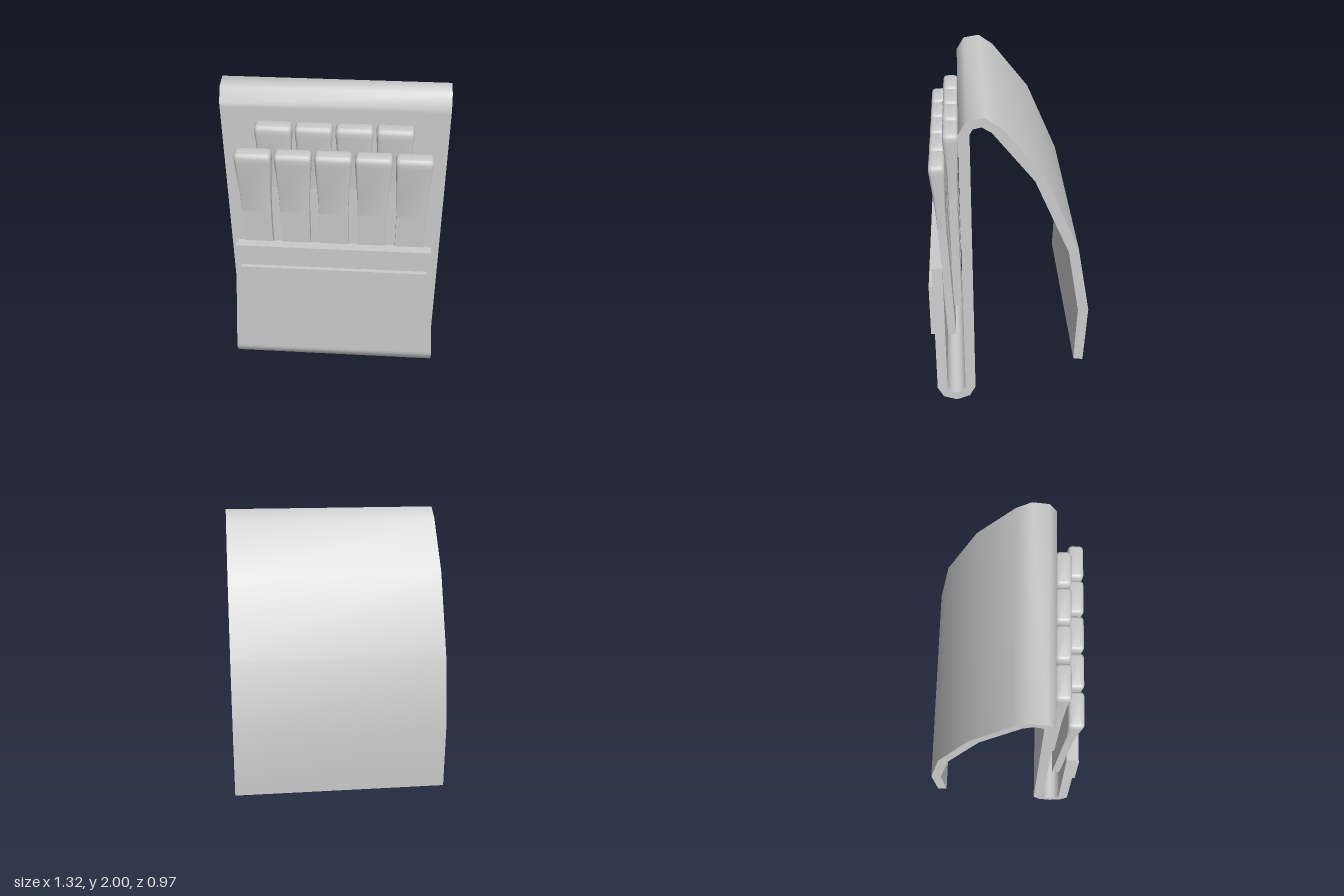
import * as THREE from 'three';
import { toCreasedNormals } from 'three/addons/utils/BufferGeometryUtils.js';

const HALF_WIDTH = 0.66;

// Folded strip: side profile in (z, y), swept across x
function coverGeometry() {
  const under = [[0.4615, 1.003], [0.4615, 0.13], [0.4615, 0.106], [0.424, 0.032], [0.34, 0], [0.255, 0.032],
    [0.2175, 0.106], [0.2175, 0.13], [0.2175, 1.88], [0.2175, 1.905], [0.2, 1.936], [0.154, 1.947], [0.1, 1.915],
    [-0.138, 1.613], [-0.345, 1.135], [-0.419, 0.706], [-0.408, 0.318]];
  const over = [[0.398, 1.003], [0.398, 0.13], [0.398, 0.106], [0.37, 0.068], [0.34, 0.06], [0.309, 0.068],
    [0.281, 0.106], [0.281, 0.13], [0.281, 1.88], [0.281, 1.905], [0.233, 1.984], [0.133, 2], [0.042, 1.936],
    [-0.196, 1.634], [-0.403, 1.156], [-0.483, 0.706], [-0.467, 0.308]];
  const outline = [...under, ...over.reverse()].map(([z, y]) => new THREE.Vector2(z, y));
  const geo = new THREE.ExtrudeGeometry(new THREE.Shape(outline), { depth: 2 * HALF_WIDTH, bevelEnabled: false });
  geo.translate(0, 0, -HALF_WIDTH).rotateY(-Math.PI / 2);
  // The front flap narrows toward its top edge
  const p = geo.attributes.position;
  for (let i = 0; i < p.count; i++) {
    if (p.getZ(i) > 0.35 && p.getY(i) > 0.106) {
      p.setX(i, p.getX(i) * (1 - 0.09 * (p.getY(i) - 0.106) / 0.897));
    }
  }
  return toCreasedNormals(geo, 0.9);
}

// Rounded rectangle at height y, as points running around the y axis
function ring(y, hx, hz, r, steps = 4) {
  const pts = [];
  const corners = [[1, 1], [-1, 1], [-1, -1], [1, -1]];
  corners.forEach(([sx, sz], c) => {
    for (let i = 0; i <= steps; i++) {
      const a = (c + i / steps) * Math.PI / 2;
      pts.push([sx * (hx - r) + r * Math.cos(a), y, sz * (hz - r) + r * Math.sin(a)]);
    }
  });
  return pts;
}

// Flared match head lofted through rounded rings, closed on top
function headGeometry() {
  const rings = [
    ring(0.78, 0.0885, 0.026, 0.003), ring(0.92, 0.092, 0.029, 0.01), ring(1.15, 0.107, 0.045, 0.022),
    ring(1.18, 0.1085, 0.047, 0.024), ring(1.196, 0.104, 0.043, 0.021),
    ring(1.204, 0.097, 0.036, 0.018), ring(1.207, 0.088, 0.028, 0.015),
  ];
  const n = rings[0].length;
  const index = [];
  for (let k = 0; k < rings.length - 1; k++) {
    for (let i = 0; i < n; i++) {
      const a = k * n + i, b = k * n + (i + 1) % n;
      index.push(a, a + n, b, b, a + n, b + n);
    }
  }
  const top = (rings.length - 1) * n;
  for (let i = 1; i < n - 1; i++) index.push(top, top + i + 1, top + i);
  const geo = new THREE.BufferGeometry();
  geo.setAttribute('position', new THREE.Float32BufferAttribute(rings.flat(2), 3));
  geo.setIndex(index);
  return toCreasedNormals(geo, 0.7);
}

export function createModel() {
  const model = new THREE.Group();
  model.name = 'matchbook';
  const material = new THREE.MeshStandardMaterial({ color: 0xcccccc });
  const add = (parent, name, geo) => {
    const mesh = new THREE.Mesh(geo, material);
    mesh.name = name;
    parent.add(mesh);
    return mesh;
  };

  add(model, 'cover', coverGeometry());

  // Striking strip on the front flap
  const strip = new THREE.Shape([[-0.603, 0.508], [0.603, 0.508], [0.58, 0.853], [-0.58, 0.853]]
    .map(([x, y]) => new THREE.Vector2(x, y)));
  add(model, 'strikingStrip', new THREE.ExtrudeGeometry(strip, { depth: 0.028, bevelEnabled: false }))
    .position.z = 0.459;

  // Two staggered rows of matches, each leaning forward
  const stick = new THREE.BoxGeometry(0.176, 0.95, 0.05).translate(0, 0.475, 0);
  const head = headGeometry();
  const rows = [
    { name: 'frontMatch', count: 5, y: 0.462, z: 0.357, lean: 0.043 },
    { name: 'backMatch', count: 4, y: 0.6, z: 0.316, lean: 0.008 },
  ];
  for (const { name, count, y, z, lean } of rows) {
    for (let i = 0; i < count; i++) {
      const match = new THREE.Group();
      match.name = `${name}${i + 1}`;
      add(match, 'stick', stick);
      add(match, 'matchHead', head);
      match.position.set((i - (count - 1) / 2) * 0.233, y, z);
      match.rotation.x = lean;
      model.add(match);
    }
  }
  return model;
}
